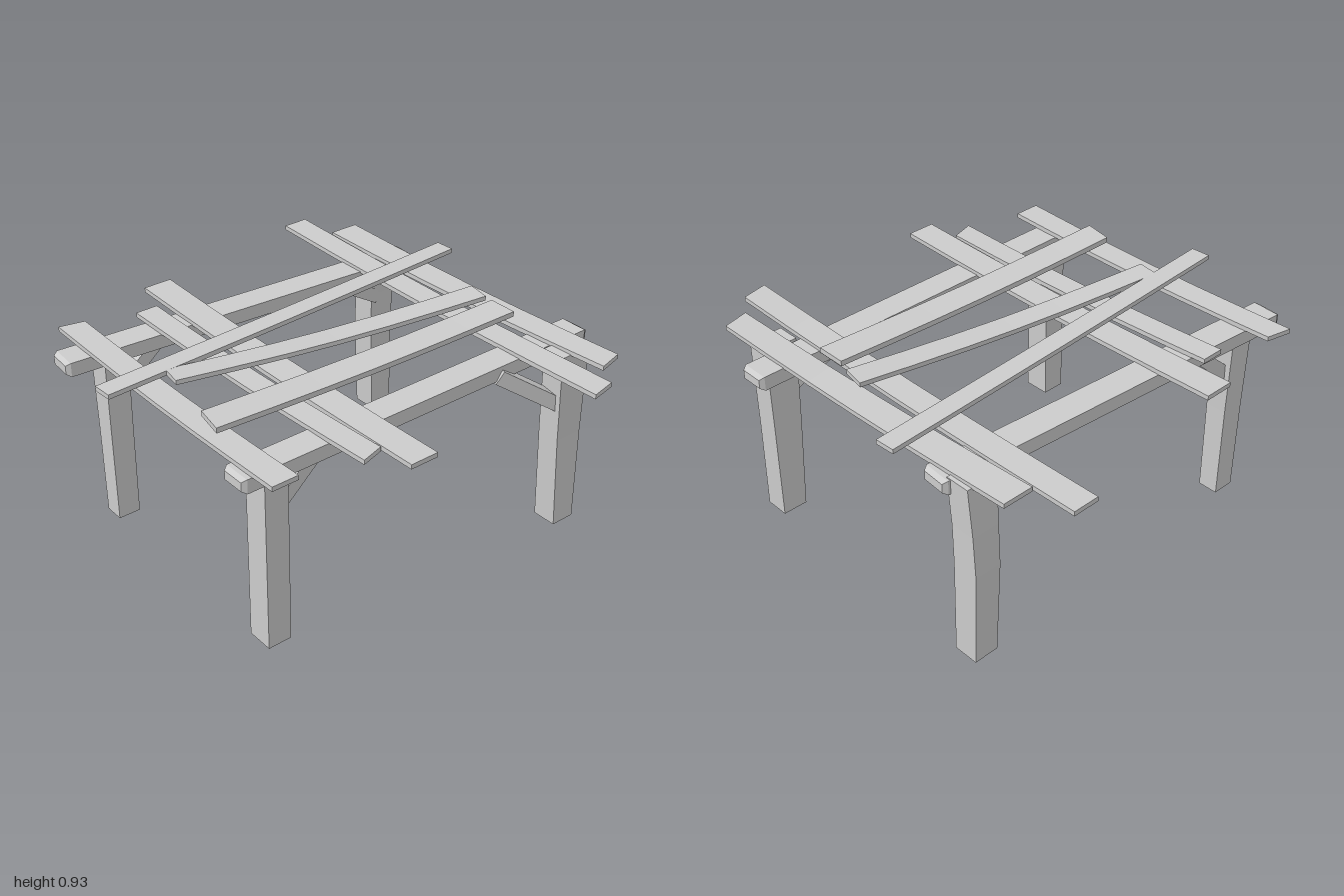
import * as THREE from 'three';

const material = new THREE.MeshStandardMaterial({ color: 0xcccccc, flatShading: true, side: THREE.DoubleSide });

// Skin a list of four-cornered sections; corners run counter-clockwise seen from the far end
function loft(name, sections, openStart = false) {
  const pos = [];
  const quad = (a, b, c, d) => [a, b, c, a, c, d].forEach((p) => pos.push(...p));
  for (let i = 0; i < sections.length - 1; i++) {
    const s = sections[i], t = sections[i + 1];
    for (let k = 0; k < 4; k++) quad(s[k], s[(k + 1) % 4], t[(k + 1) % 4], t[k]);
  }
  if (!openStart) quad(...[...sections[0]].reverse());
  quad(...sections[sections.length - 1]);
  const geometry = new THREE.BufferGeometry();
  geometry.setAttribute('position', new THREE.Float32BufferAttribute(pos, 3));
  geometry.computeVertexNormals();
  const mesh = new THREE.Mesh(geometry, material);
  mesh.name = name;
  return mesh;
}

// Straight timber from a to b, with optional chamfered ends
function bar(name, a, b, halfW, halfH, chamfer = 0) {
  const A = new THREE.Vector3(...a), B = new THREE.Vector3(...b);
  const dir = B.clone().sub(A).normalize();
  const right = new THREE.Vector3(0, 1, 0).cross(dir).normalize();
  const up = dir.clone().cross(right);
  const section = (dist, inset) =>
    [[-1, -1], [1, -1], [1, 1], [-1, 1]].map(([u, v]) =>
      A.clone().addScaledVector(dir, dist)
        .addScaledVector(right, u * (halfW - inset))
        .addScaledVector(up, v * (halfH - inset)).toArray());
  const len = A.distanceTo(B);
  const stations = chamfer
    ? [[0, chamfer * 0.6], [chamfer, 0], [len - chamfer, 0], [len, chamfer * 0.6]]
    : [[0, 0], [len, 0]];
  return loft(name, stations.map((s) => section(...s)));
}

// Sagging plank from its four plan corners [x, z]
function plank(name, [startL, startR, endL, endR], yEnd, sag, thick = 0.021) {
  const n = 6, mix = THREE.MathUtils.lerp, sections = [];
  for (let i = 0; i <= n; i++) {
    const t = i / n, y = yEnd - sag * Math.sin(Math.PI * t);
    const l = [mix(startL[0], endL[0], t), mix(startL[1], endL[1], t)];
    const r = [mix(startR[0], endR[0], t), mix(startR[1], endR[1], t)];
    sections.push([[l[0], y, l[1]], [r[0], y, r[1]], [r[0], y + thick, r[1]], [l[0], y + thick, l[1]]]);
  }
  return loft(name, sections);
}

// Crooked post from levels [y, x0, x1, z0, z1], open underneath
const post = (name, levels) => loft(name, levels.map(([y, x0, x1, z0, z1]) =>
  [[x0, y, z1], [x1, y, z1], [x1, y, z0], [x0, y, z0]]), true);

export function createModel() {
  const model = new THREE.Group();
  model.name = 'pergola';

  // Four posts
  model.add(
    post('frontRightPost', [[0, 0.455, 0.577, 0.635, 0.745], [0.8, 0.457, 0.577, 0.635, 0.745]]),
    post('frontLeftPost', [[0, -0.63, -0.535, 0.64, 0.745], [0.45, -0.637, -0.537, 0.635, 0.745], [0.8, -0.648, -0.537, 0.63, 0.745]]),
    post('backRightPost', [[0, 0.595, 0.71, -0.85, -0.733], [0.45, 0.592, 0.7, -0.85, -0.712], [0.86, 0.592, 0.7, -0.85, -0.695]]),
    post('backLeftPost', [[0, -0.655, -0.54, -0.85, -0.735], [0.45, -0.667, -0.545, -0.85, -0.725], [0.64, -0.655, -0.54, -0.85, -0.72], [0.86, -0.637, -0.525, -0.855, -0.71]]),
  );

  // Two beams running front to back
  model.add(
    bar('leftBeam', [-0.478, 0.823, -0.88], [-0.607, 0.823, 0.915], 0.065, 0.032, 0.02),
    bar('rightBeam', [0.518, 0.823, -0.975], [0.518, 0.823, 0.845], 0.064, 0.032, 0.02),
  );

  // Corner braces
  model.add(
    bar('frontRightBrace', [0.516, 0.63, 0.66], [0.516, 0.81, 0.46], 0.03, 0.03),
    bar('frontLeftBrace', [-0.59, 0.63, 0.66], [-0.575, 0.81, 0.46], 0.03, 0.03),
    bar('backRightBrace', [0.65, 0.61, -0.74], [0.56, 0.81, -0.455], 0.035, 0.032),
    bar('backLeftBrace', [-0.57, 0.62, -0.75], [-0.49, 0.81, -0.455], 0.033, 0.032),
  );

  // Lower planks across the beams: front corner, back corner at each end
  const lower = [
    [[-0.8, -0.69], [-0.8, -0.83], [0.87, -0.75], [0.84, -0.87]],
    [[-1, -0.56], [-1, -0.68], [1, -0.56], [0.975, -0.68]],
    [[-0.875, 0.325], [-0.875, 0.19], [0.91, 0.325], [0.91, 0.195]],
    [[-0.7, 0.48], [-0.7, 0.375], [0.78, 0.44], [0.75, 0.335]],
    [[-0.8, 0.805], [-0.775, 0.69], [0.705, 0.805], [0.705, 0.685]],
  ];
  lower.forEach((c, i) => model.add(plank(`lowerPlank${i + 1}`, c, 0.861, 0.016)));

  // Upper planks laid front to back on top
  model.add(
    plank('upperPlank1', [[-0.335, -0.945], [-0.245, -0.95], [-0.22, 0.97], [-0.13, 0.965]], 0.905, 0.004),
    plank('upperPlank2', [[0.08, -0.765], [0.19, -0.745], [-0.16, 0.685], [-0.06, 0.7]], 0.904, 0.02),
    plank('upperPlank3', [[0.24, -0.73], [0.375, -0.73], [0.195, 0.755], [0.33, 0.78]], 0.908, 0.012, 0.024),
  );
  return model;
}
